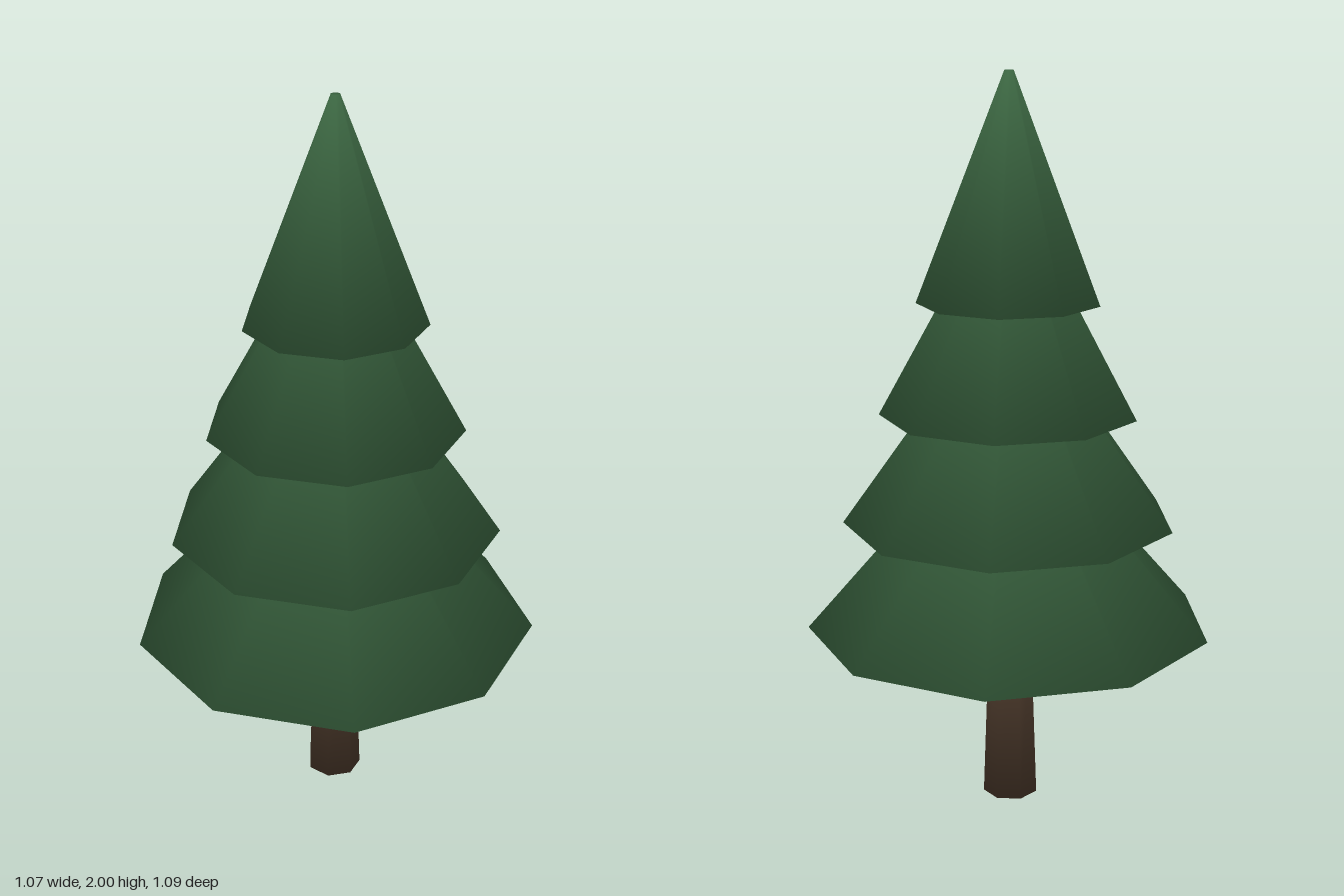
import * as THREE from 'three';

// Tapered prism with closed ends; normals are shared between sides and ends,
// giving the soft low-poly shading. One corner points to -x.
function taperedPrism(sides, rBottom, rTop, yBottom, yTop) {
  const pos = [], nor = [], idx = [];
  const side = new THREE.Vector2(yTop - yBottom, rBottom - rTop).normalize();
  for (const [r, y, end] of [[rBottom, yBottom, -1], [rTop, yTop, 1]]) {
    const n = new THREE.Vector2(side.x, side.y + end).normalize();
    for (let i = 0; i < sides; i++) {
      const a = Math.PI + (i / sides) * Math.PI * 2;
      const c = Math.cos(a), s = Math.sin(a);
      pos.push(r * c, y, r * s);
      nor.push(n.x * c, n.y, n.x * s);
    }
  }
  for (let i = 0; i < sides; i++) {
    const j = (i + 1) % sides;
    idx.push(i, sides + i, j, sides + i, sides + j, j); // side panel
    if (i > 0 && j > 0) {
      idx.push(0, i, j); // underside
      idx.push(sides, sides + j, sides + i); // top end
    }
  }
  const geo = new THREE.BufferGeometry();
  geo.setAttribute('position', new THREE.Float32BufferAttribute(pos, 3));
  geo.setAttribute('normal', new THREE.Float32BufferAttribute(nor, 3));
  geo.setIndex(idx);
  return geo;
}

export function createModel() {
  const needleGreen = new THREE.MeshStandardMaterial({ color: 0x3a6440 });
  needleGreen.name = 'needleGreen';
  const barkBrown = new THREE.MeshStandardMaterial({ color: 0x4a382a });
  barkBrown.name = 'barkBrown';

  const tree = new THREE.Group();
  tree.name = 'pineTree';

  // Trunk
  const trunk = new THREE.Mesh(taperedPrism(7, 0.076, 0.058, 0, 0.52), barkBrown);
  trunk.name = 'trunk';
  trunk.position.x = 0.014;
  tree.add(trunk);

  // Four overlapping foliage tiers, shrinking upwards
  for (let i = 0; i < 4; i++) {
    const r = 0.554 - i * 0.1023;
    const y = 0.5 + i * 0.3;
    const tier = new THREE.Mesh(taperedPrism(9, r, r * 0.05, y, y + 0.6), needleGreen);
    tier.name = `foliageTier${i + 1}`;
    tier.position.x = 0.016;
    tree.add(tier);
  }
  return tree;
}
